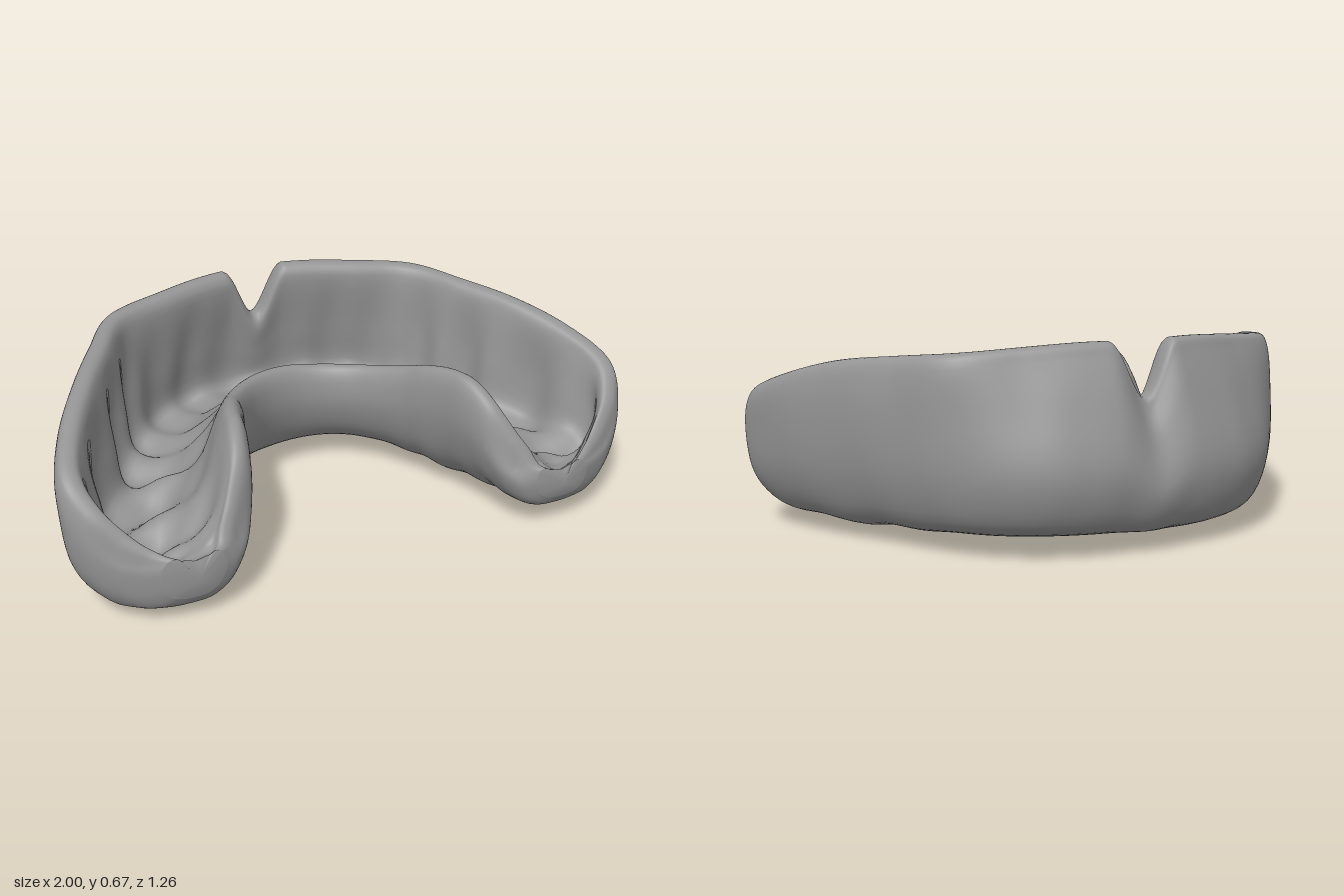
import * as THREE from 'three';

// Half-arch stations, from the middle of the front to the back tip:
// inner x, z, outer x, z, outer rim position t, outer rim y, inner rim y, floor y, bottom y
const HALF = [
  [0, -0.09, 0, -0.63, 0.75, 0.67, 0.42, 0.22, 0.045],
  [0.10, -0.07, 0.24, -0.615, 0.72, 0.67, 0.42, 0.22, 0.045],
  [0.18, -0.02, 0.44, -0.54, 0.75, 0.66, 0.425, 0.21, 0.045],
  [0.24, 0.05, 0.62, -0.38, 0.88, 0.645, 0.44, 0.20, 0.04],
  [0.29, 0.13, 0.74, -0.19, 0.89, 0.625, 0.465, 0.19, 0.03],
  [0.32, 0.20, 0.85, 0.01, 0.90, 0.60, 0.495, 0.18, 0.02],
  [0.355, 0.29, 0.94, 0.20, 0.92, 0.55, 0.515, 0.18, 0.02],
  [0.38, 0.38, 0.995, 0.38, 0.93, 0.48, 0.51, 0.18, 0.03],
  [0.41, 0.47, 0.965, 0.48, 0.91, 0.39, 0.45, 0.18, 0.04],
  [0.45, 0.54, 0.89, 0.54, 0.87, 0.30, 0.34, 0.19, 0.05],
  [0.50, 0.585, 0.82, 0.575, 0.83, 0.255, 0.26, 0.205, 0.07],
  [0.55, 0.608, 0.76, 0.602, 0.80, 0.24, 0.24, 0.222, 0.105],
];
const LAST = HALF.length - 1;
const STEPS = 16, AROUND = 96;
// Tooth sockets along the station index: centre and half-width
const TEETH = [[0.55, 0.5], [1.5, 0.45], [2.4, 0.45], [3.3, 0.45], [4.3, 0.55], [5.7, 0.85], [7.5, 0.95]];

const mix = THREE.MathUtils.lerp;
const smooth = THREE.MathUtils.smoothstep;

function catmull(p0, p1, p2, p3, f) {
  return 0.5 * (2 * p1 + (p2 - p0) * f + (2 * p0 - 5 * p1 + 4 * p2 - p3) * f * f
    + (3 * p1 - p0 - 3 * p2 + p3) * f * f * f);
}

// Mirrored station row for a signed index
function row(i) {
  const r = HALF[Math.min(Math.abs(i), LAST)].slice();
  if (i < 0) { r[0] *= -1; r[2] *= -1; }
  return r;
}

function station(u) {
  const i = Math.min(Math.floor(u), LAST - 1), f = u - i;
  const [a, b, c, d] = [row(i - 1), row(i), row(i + 1), row(i + 2)];
  return b.map((_, k) => catmull(a[k], b[k], c[k], d[k], f));
}

// 1 at a socket centre, 0 between two teeth
function socket(q) {
  return TEETH.reduce((m, [c, w]) => {
    const d = Math.min(1, Math.abs(q - c) / w);
    return Math.max(m, 0.5 + 0.5 * Math.cos(Math.PI * d));
  }, 0);
}

// Closed cross-section, laid out as (t across the arch, y)
function section(u) {
  const [ix, iz, ox, oz, r, rim, innerRim, floor, bottom] = station(u);
  const q = Math.abs(u);
  const w = Math.hypot(ox - ix, oz - iz);
  const h = Math.min(0.043 / w, 0.11), l = 0.8 * h + 0.01 + 0.05 * smooth(q, 8, 9.5);
  const back = smooth(q, 2, 5), fade = 1 - smooth(q, 7.5, 9.5);
  // The left leg sits slightly higher than the right one
  const tilt = 0.012 * Math.tanh(u);
  const B = bottom + tilt, L = innerRim - tilt * fade;
  // V notch in the middle of the front rim
  const n = Math.max(0, 1 - Math.abs((ix + ox) / 2) / 0.1);
  const R = rim - 0.18 * n * n * (3 - 2 * n);
  const dent = (0.5 - socket(q)) * fade * mix(0.35, 1, back);
  const F = floor + tilt * fade + 0.045 * dent;
  const scallop = 0.06 * dent;
  const bulge = -0.008 * dent;
  const e = Math.min(0.045, 0.5 * (R - F)), g = Math.min(0.05, 0.5 * (L - F));
  const H = R - B, K = L - B;
  const upper = mix(1, r + h, 0.5);
  const foot = 1 - 3.3 * h - scallop;
  const slope = l + mix(0.27, 0.2, back);
  const pts = [
    [0.5, B], [mix(0.76, 0.69, back), B + 0.02 * H], [mix(0.92, 0.855, back), B + 0.11 * H],
    [mix(1, 0.965, back) + bulge, B + 0.36 * H], [mix(upper, 1, back) + bulge, B + 0.7 * H],
    [r + h, R - e], [r + 0.55 * h, R - 0.12 * e], [r - 0.55 * h, R - 0.12 * e], [r - h, R - e],
    [upper - 2.5 * h - scallop, mix(F, R, 0.4)], [foot, F + 0.01],
    [mix(slope, foot, 0.5), F], [slope, mix(F, L, 0.35)],
    [l + 1.1 * h, L - g], [l + 0.5 * h, L - 0.1 * g], [l - 0.3 * h, L - 0.1 * g], [l - 0.8 * h, L - g],
    [0.005, B + 0.62 * K], [0.09, B + 0.28 * K], [0.27, B + 0.05 * K],
  ].map(([t, y]) => new THREE.Vector3(t, y, 0));
  const curve = new THREE.CatmullRomCurve3(pts, true, 'centripetal');
  const out = [];
  for (let j = 0; j < AROUND; j++) {
    const f = j / AROUND, p = curve.getPoint(f), at = f * pts.length;
    // Cusp marks on the trough floor of the back teeth
    const onFloor = Math.max(0, 1 - ((at - 11) / 1.6) ** 2);
    p.y += 0.022 * onFloor * back * fade * Math.cos(q * 4) * Math.cos((p.x - 0.5) * 14);
    // Soft grooves across the underside of the legs
    const under = Math.max(0, 1 - (Math.min(at, pts.length - at) / 2.5) ** 2);
    p.y += 0.006 * under * fade * back * Math.cos(q * 4.2);
    out.push(mix(ix, ox, p.x), p.y, mix(iz, oz, p.x));
  }
  return out;
}

function trayGeometry() {
  const pos = [], index = [], count = 2 * LAST * STEPS;
  for (let i = 0; i <= count; i++) pos.push(...section(i / STEPS - LAST));
  for (let i = 0; i < count; i++) {
    for (let j = 0; j < AROUND; j++) {
      const k = (j + 1) % AROUND;
      const a = i * AROUND + j, c = i * AROUND + k;
      const b = a + AROUND, d = c + AROUND;
      index.push(a, c, b, b, c, d);
    }
  }
  // Rounded back tips
  const tip = pos.length / 3, end = count * AROUND;
  pos.push(-0.65, 0.165, 0.627, 0.65, 0.175, 0.627);
  for (let j = 0; j < AROUND; j++) {
    const k = (j + 1) % AROUND;
    index.push(tip, k, j, tip + 1, end + j, end + k);
  }
  const geo = new THREE.BufferGeometry();
  geo.setAttribute('position', new THREE.Float32BufferAttribute(pos, 3));
  geo.setIndex(index);
  geo.computeBoundingBox();
  geo.translate(0, -geo.boundingBox.min.y, 0);
  geo.computeVertexNormals();
  return geo;
}

export function createModel() {
  const group = new THREE.Group();
  group.name = 'mouthguard';
  const tray = new THREE.Mesh(trayGeometry(), new THREE.MeshStandardMaterial({ color: 0x949494 }));
  tray.name = 'archTray';
  group.add(tray);
  return group;
}
